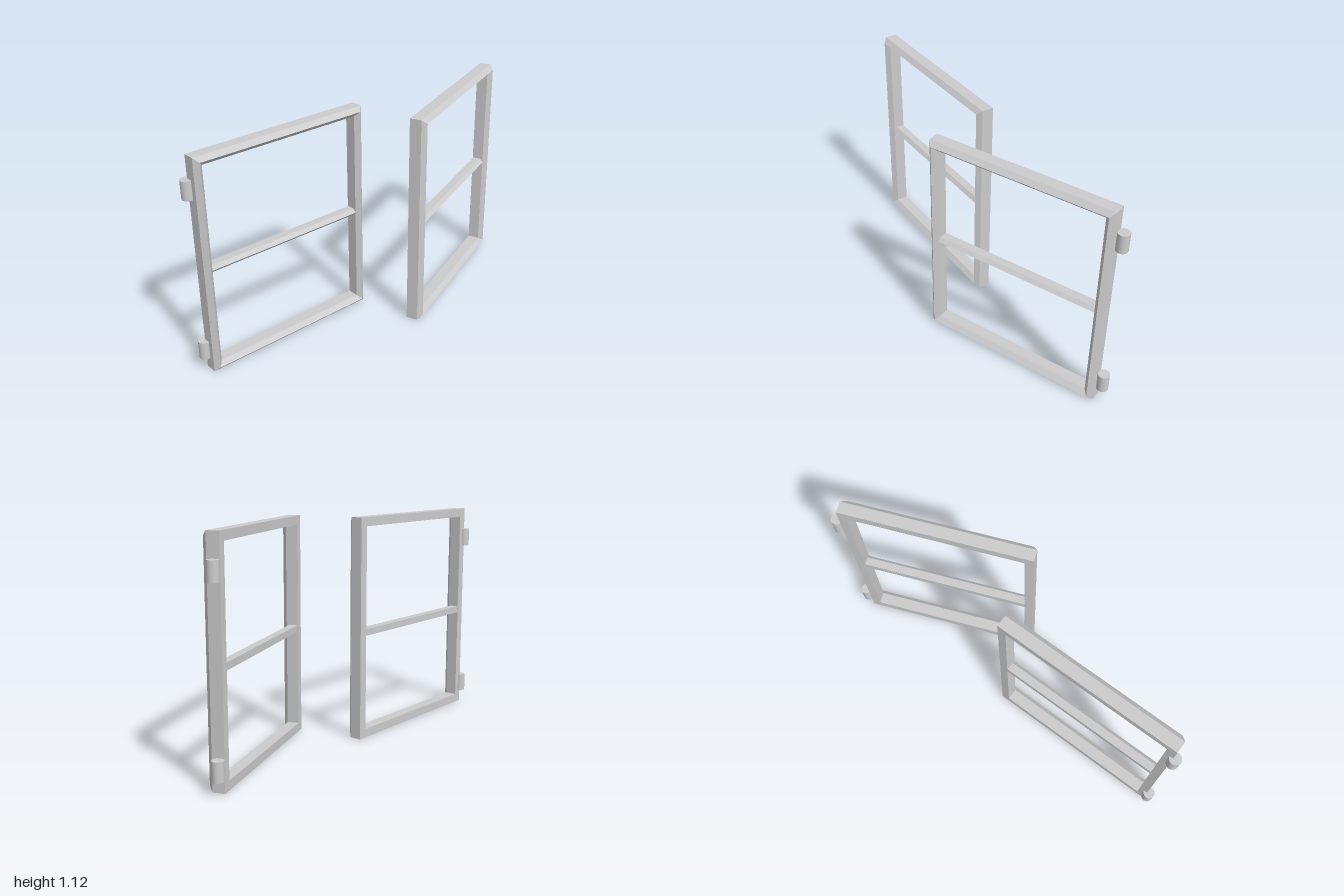
import * as THREE from 'three';

const LENGTH = 0.957, HEIGHT = 1.125;
const material = new THREE.MeshStandardMaterial({ color: 0xcccccc, flatShading: true });
const smooth = new THREE.MeshStandardMaterial({ color: 0xcccccc });

// Pentagonal moulding swept round a rectangle with mitred corners.
// Profile points are [inset from the outer edge, depth].
function frameGeometry() {
  const profile = [[0, 0], [0, 0.06], [0.0225, 0.083], [0.045, 0.06], [0.045, 0]];
  const corners = [[0, 0], [1, 0], [1, 1], [0, 1]];
  const n = profile.length, positions = [], index = [];
  for (const [u, v] of corners) {
    for (const [inset, depth] of profile) {
      positions.push(depth, v ? HEIGHT - inset : inset, u ? LENGTH - inset : inset);
    }
  }
  for (let i = 0; i < 4; i++) {
    for (let j = 0; j < n; j++) {
      const k = (i + 1) % 4, m = (j + 1) % n;
      const a = i * n + j, b = i * n + m, c = k * n + m, d = k * n + j;
      index.push(a, b, d, b, c, d);
    }
  }
  const indexed = new THREE.BufferGeometry();
  indexed.setAttribute('position', new THREE.Float32BufferAttribute(positions, 3));
  indexed.setIndex(index);
  const geometry = indexed.toNonIndexed();
  geometry.computeVertexNormals();
  return geometry;
}

// Slimmer ridged bar between the two stiles
function barGeometry() {
  const shape = new THREE.Shape([
    [0.003, -0.0175], [0.045, -0.0175], [0.0625, 0], [0.045, 0.0175], [0.003, 0.0175],
  ].map(([x, y]) => new THREE.Vector2(x, y)));
  return new THREE.ExtrudeGeometry(shape, { depth: LENGTH - 0.088, bevelEnabled: false });
}

function makeCasement(name, x, z, angle) {
  const casement = new THREE.Group();
  casement.name = name;
  const frame = new THREE.Mesh(frameGeometry(), material);
  frame.name = 'frame';
  const bar = new THREE.Mesh(barGeometry(), material);
  bar.name = 'crossBar';
  bar.position.set(0, 0.549, 0.044);
  casement.add(frame, bar);
  casement.position.set(x, 0, z);
  casement.rotation.y = angle;
  return casement;
}

export function createModel() {
  const model = new THREE.Group();
  model.name = 'casementWindow';

  // One closed leaf and one swung open
  model.add(makeCasement('closedCasement', -0.2, 0.005, 0));
  model.add(makeCasement('openCasement', -0.203, -0.94, 0.377));

  // Hinge barrels at the outer ends
  const barrel = new THREE.CylinderGeometry(0.029, 0.029, 0.094, 32);
  for (const side of [1, -1]) {
    for (const y of [0.111, 0.963]) {
      const hinge = new THREE.Mesh(barrel, smooth);
      hinge.name = 'hinge';
      hinge.position.set(-0.194, y, side * 0.971);
      model.add(hinge);
    }
  }
  return model;
}
